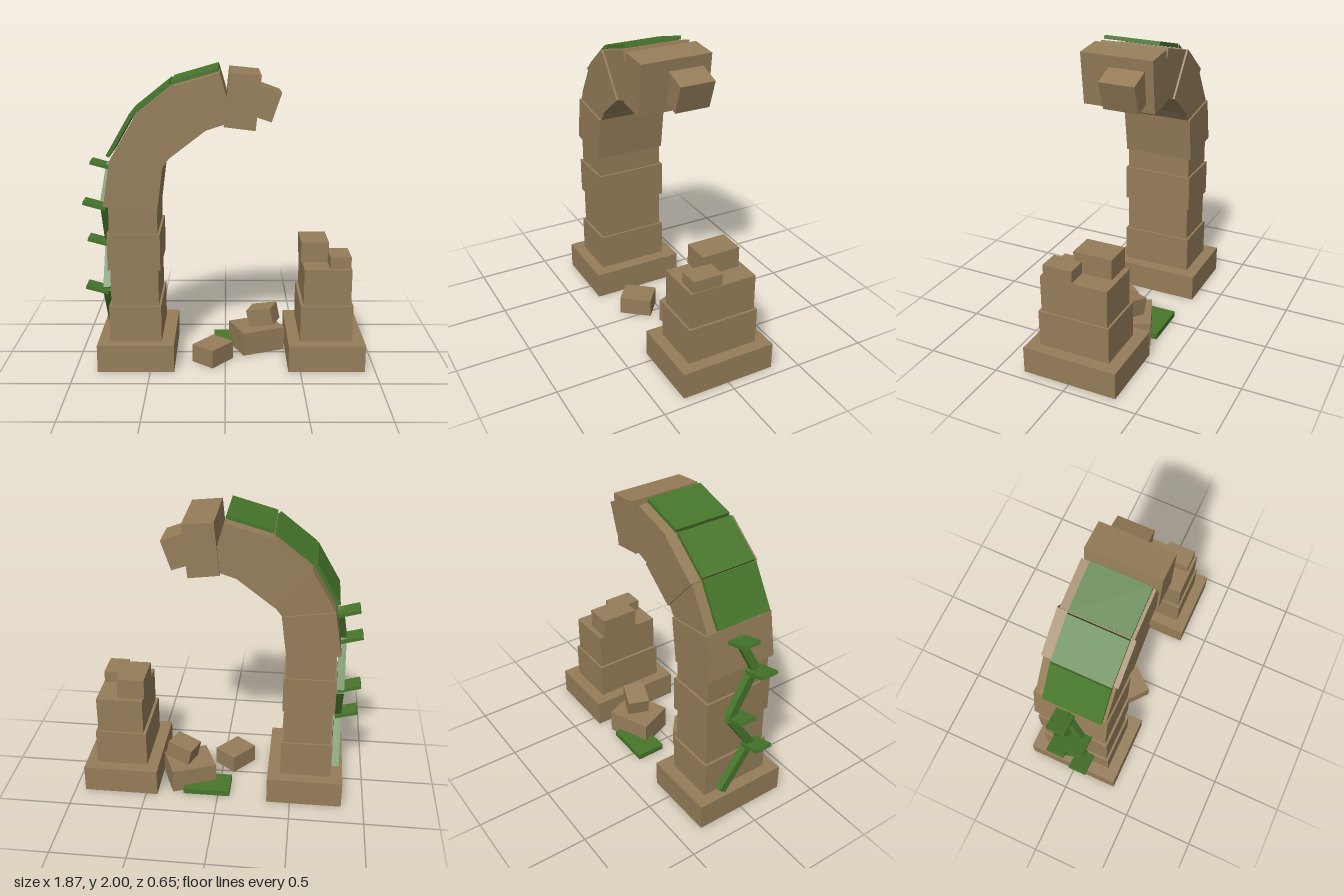
import * as THREE from 'three';

export function createModel() {
  const stone = new THREE.MeshStandardMaterial({ name: 'sandstone', color: 0x957d59 });
  const moss = new THREE.MeshStandardMaterial({ name: 'moss green', color: 0x47762b });
  const model = new THREE.Group();
  model.name = 'ruinedArch';

  const add = (parent, name, geometry, material) => {
    const mesh = new THREE.Mesh(geometry, material);
    mesh.name = name;
    parent.add(mesh);
    return mesh;
  };
  const group = (name) => {
    const g = new THREE.Group();
    g.name = name;
    model.add(g);
    return g;
  };
  // Box given by its lower and upper limits
  const block = (parent, name, [x0, x1], [y0, y1], [z0, z1], material = stone) => {
    const mesh = add(parent, name, new THREE.BoxGeometry(x1 - x0, y1 - y0, z1 - z0), material);
    mesh.position.set((x0 + x1) / 2, (y0 + y1) / 2, (z0 + z1) / 2);
    return mesh;
  };
  // Outline in x and y, extruded from z0 to z1
  const wedge = (parent, name, points, z0, z1, material = stone) => {
    const shape = new THREE.Shape(points.map(([x, y]) => new THREE.Vector2(x, y)));
    const geometry = new THREE.ExtrudeGeometry(shape, { depth: z1 - z0, bevelEnabled: false });
    return add(parent, name, geometry.translate(0, 0, z0), material);
  };
  // Square-cut bar between two points
  const bar = (parent, name, a, b, width, depth, material) => {
    const from = new THREE.Vector3(...a), to = new THREE.Vector3(...b);
    const mesh = add(parent, name, new THREE.BoxGeometry(width, from.distanceTo(to), depth), material);
    mesh.position.copy(from).lerp(to, 0.5);
    mesh.quaternion.setFromUnitVectors(new THREE.Vector3(0, 1, 0), to.sub(from).normalize());
    return mesh;
  };

  // Standing pillar
  const tall = group('tallPillar');
  block(tall, 'pillarBase', [-0.85, -0.34], [0, 0.185], [-0.33, 0.325]);
  [0.185, 0.435, 0.685, 0.93].forEach((y, i) => {
    const inset = i % 2 ? 0.015 : 0;
    block(tall, 'pillarBlock', [-0.77 + inset, -0.425 - inset], [y, [0.435, 0.685, 0.93, 1.11][i]],
      [-0.247 + inset, 0.247 - inset]);
  });

  // Broken arch of wedge stones
  const arch = group('brokenArch');
  [
    [[-0.785, 1.115], [-0.44, 1.065], [-0.4, 1.37], [-0.735, 1.415]],
    [[-0.735, 1.415], [-0.4, 1.37], [-0.35, 1.435], [-0.575, 1.685]],
    [[-0.58, 1.69], [-0.355, 1.43], [-0.12, 1.61], [-0.335, 1.885]],
    [[-0.335, 1.88], [-0.125, 1.605], [0, 1.645], [0.01, 1.81], [-0.035, 1.965]],
    [[0.025, 1.97], [-0.01, 1.63], [0.19, 1.605], [0.225, 1.95]],
  ].forEach((points, i) => {
    const half = i % 2 ? 0.234 : 0.247;
    wedge(arch, 'archStone', points, -half, half);
  });
  wedge(arch, 'brokenTip', [[0.215, 1.875], [0.195, 1.665], [0.3, 1.63], [0.365, 1.82]], -0.19, 0.053);

  // Moss slabs along the top of the arch
  const mossCover = group('mossCover');
  [
    [[-0.75, 1.435], [-0.595, 1.7]],
    [[-0.59, 1.705], [-0.348, 1.895]],
    [[-0.335, 1.902], [-0.04, 1.986]],
  ].forEach(([a, b]) => bar(mossCover, 'mossSlab', [...a, 0.02], [...b, 0.02], 0.025, 0.39, moss));

  // Zigzag vine with leaves on the outer face
  const vine = group('climbingVine');
  const path = [[-0.8, 0.2, -0.14], [-0.8, 0.505, 0.08], [-0.8, 0.785, -0.1], [-0.8, 1.1, 0.08], [-0.765, 1.34, -0.03]];
  path.slice(1).forEach((p, i) => {
    bar(vine, 'vineStem', path[i], p, 0.05, 0.055, moss);
    const leaf = add(vine, 'vineLeaf', new THREE.BoxGeometry(0.155, 0.024, 0.125), moss);
    leaf.position.set(i === 3 ? -0.82 : -0.858, [0.515, 0.805, 1.095, 1.34][i], [0.09, -0.055, 0.09, -0.03][i]);
    leaf.rotation.z = -0.27;
  });

  // Collapsed pillar
  const short = group('shortPillar');
  block(short, 'pillarBase', [0.42, 0.93], [0, 0.185], [-0.33, 0.325]);
  block(short, 'pillarBlock', [0.5, 0.85], [0.185, 0.435], [-0.247, 0.247]);
  block(short, 'pillarBlock', [0.52, 0.835], [0.435, 0.685], [-0.232, 0.232]);
  block(short, 'brokenTop', [0.51, 0.695], [0.685, 0.825], [-0.195, 0.07]);
  block(short, 'brokenTop', [0.69, 0.83], [0.685, 0.765], [0.01, 0.212]);

  // Fallen rubble
  const rubble = group('rubble');
  const fallen = (name, size, position, rotation) => {
    const mesh = add(rubble, name, new THREE.BoxGeometry(...size), stone);
    mesh.position.set(...position);
    mesh.rotation.set(...rotation);
  };
  fallen('smallFallenBlock', [0.18, 0.125, 0.22], [-0.085, 0.0625, 0.13], [0, -0.69, 0]);
  fallen('largeFallenBlock', [0.31, 0.165, 0.26], [0.22, 0.0825, -0.11], [0, 0.39, 0]);
  fallen('tiltedFallenBlock', [0.18, 0.12, 0.15], [0.265, 0.243, -0.1], [0, -0.35, 0.22]);
  block(rubble, 'fallenMossSlab', [-0.08, 0.24], [0, 0.04], [-0.3, -0.1], moss);

  return model;
}
